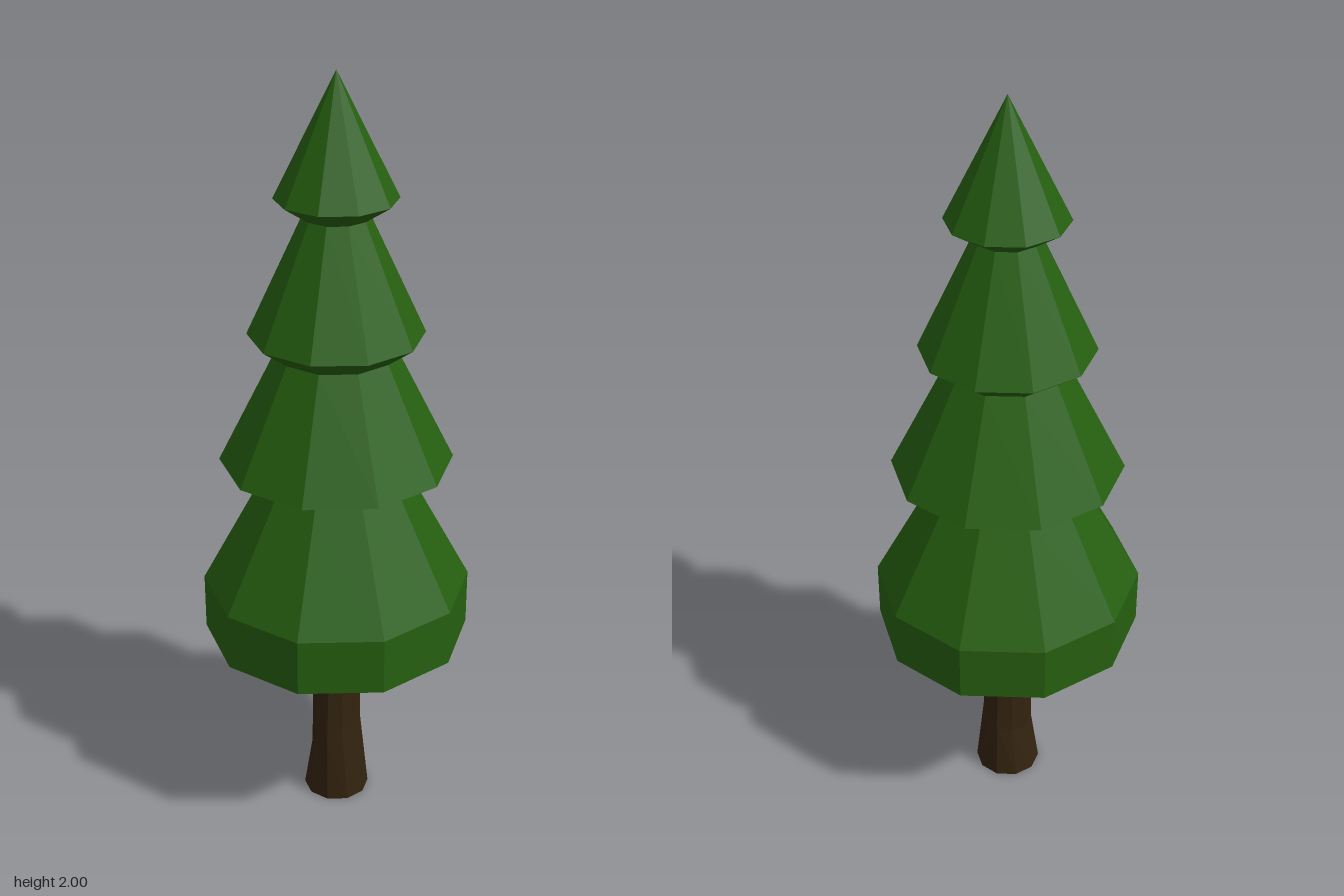
import * as THREE from 'three';

const SIDES = 10;

// Faceted solid of revolution from [radius, height] pairs, bottom to top,
// with a corner on the x axis; bend(v) may move vertices.
function facetedLathe(profile, bend) {
  const points = profile.map(([r, y]) => new THREE.Vector2(r, y));
  const lathe = new THREE.LatheGeometry(points, SIDES, Math.PI / 2);
  if (bend) {
    const pos = lathe.attributes.position;
    const v = new THREE.Vector3();
    for (let i = 0; i < pos.count; i++) {
      bend(v.fromBufferAttribute(pos, i));
      pos.setXYZ(i, v.x, v.y, v.z);
    }
  }
  const flat = lathe.toNonIndexed();
  flat.computeVertexNormals();
  return flat;
}

export function createModel() {
  const needleGreen = new THREE.MeshStandardMaterial({ color: 0x265f10 });
  const barkBrown = new THREE.MeshStandardMaterial({ color: 0x33230f });
  const tree = new THREE.Group();
  tree.name = 'pineTree';

  // Four stacked tiers with undercut rims, above a straight skirt
  const foliage = new THREE.Mesh(facetedLathe([
    [0, 0.525],
    [0.347, 0.525], [0.347, 0.675],
    [0.19, 0.965], [0.297, 1.02],
    [0.152, 1.31], [0.22, 1.36],
    [0.083, 1.655], [0.151, 1.7],
    [0, 2],
  ]), needleGreen);
  foliage.name = 'foliage';
  tree.add(foliage);

  // Trunk flares at the root; its waist ring is tilted and wider in z
  const trunk = new THREE.Mesh(facetedLathe([
    [0, 0], [0.088, 0], [0.061, 0.18], [0.06, 0.42], [0.067, 0.527],
  ], (v) => {
    if (Math.abs(v.y - 0.18) < 0.001) {
      v.y += v.x * 0.65;
      v.z *= 1.25;
    } else if (Math.abs(v.y - 0.42) < 0.001) {
      v.z *= 1.1;
    }
  }), barkBrown);
  trunk.name = 'trunk';
  tree.add(trunk);

  return tree;
}
